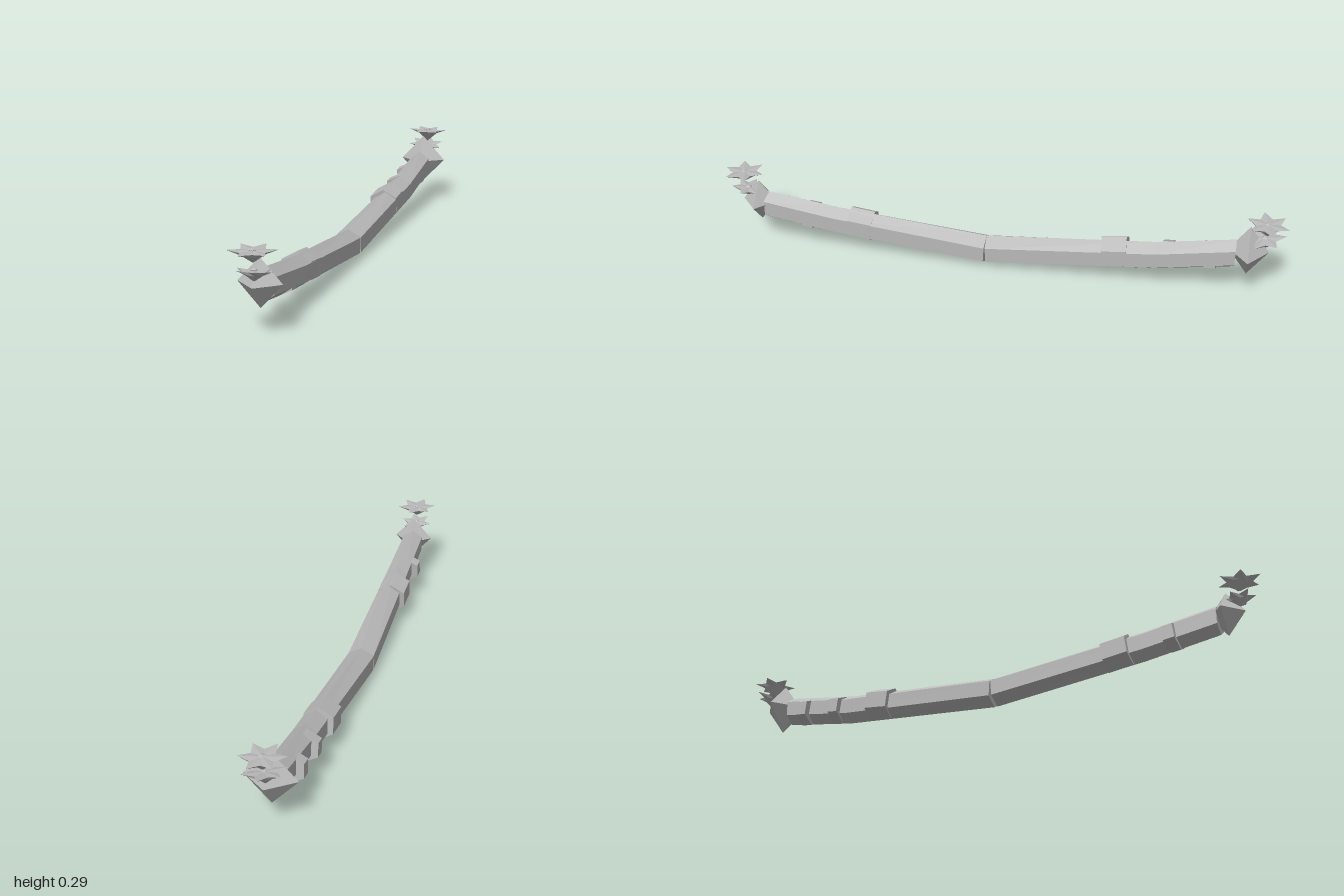
import * as THREE from 'three';

// Closed skin over matching rings; each ring runs counter-clockwise seen from the first ring's side
function loft(rings) {
  const pos = [];
  const tri = (...pts) => pts.forEach((p) => pos.push(...p));
  const n = rings[0].length;
  for (let r = 0; r < rings.length - 1; r++) {
    const a = rings[r], b = rings[r + 1];
    for (let i = 0; i < n; i++) {
      const j = (i + 1) % n;
      tri(a[i], b[i], b[j]);
      tri(a[i], b[j], a[j]);
    }
  }
  const cap = (ring, flip) => {
    const c = [0, 1, 2].map((k) => ring.reduce((s, p) => s + p[k], 0) / n);
    for (let i = 0; i < n; i++) {
      const j = (i + 1) % n;
      if (flip) tri(c, ring[j], ring[i]);
      else tri(c, ring[i], ring[j]);
    }
  };
  cap(rings[0], false);
  cap(rings[rings.length - 1], true);
  const g = new THREE.BufferGeometry();
  g.setAttribute('position', new THREE.Float32BufferAttribute(pos, 3));
  g.computeVertexNormals();
  return g;
}

// Point-up hexagon across the beam; lean shifts z with height
function hexRing(z, cx, cy, halfWidth, radius, lean = 0) {
  return Array.from({ length: 6 }, (_, i) => {
    const a = Math.PI / 6 + (i * Math.PI) / 3;
    const dy = Math.sin(a) * radius;
    return [cx + Math.cos(a) * halfWidth / Math.cos(Math.PI / 6), cy + dy, z + lean * (dy - radius)];
  });
}

// Flat ring of star points around y
function starRing(outer, inner, y, drop) {
  return Array.from({ length: 12 }, (_, i) => {
    const a = (i * Math.PI) / 6;
    const r = i % 2 ? inner : outer;
    return [Math.cos(a) * r, i % 2 ? y - drop : y, -Math.sin(a) * r];
  });
}

export function createModel() {
  const root = new THREE.Group();
  const grey = new THREE.MeshStandardMaterial({ color: 0xb8b8b8 });
  grey.flatShading = true;

  const add = (name, geometry, parent = root) => {
    const mesh = new THREE.Mesh(geometry, grey);
    mesh.name = name;
    parent.add(mesh);
    return mesh;
  };

  // Two beam halves that meet at the top of the bend
  add('frontBeam', loft([
    hexRing(0.85, -0.003, 0.152, 0.037, 0.054),
    hexRing(0.59, -0.005, 0.114, 0.04, 0.054),
    hexRing(0.04, -0.016, 0.056, 0.046, 0.054, -0.06),
  ]));
  add('backBeam', loft([
    hexRing(0.04, -0.016, 0.056, 0.046, 0.054, 0.06),
    hexRing(-0.56, -0.005, 0.114, 0.04, 0.054),
    hexRing(-0.83, -0.003, 0.16, 0.037, 0.054),
  ]));

  // Hexagonal bands, set off to one side and following the slope: z, y, length, radius
  const bands = [
    ['frontCollar', 0.5, 0.104, 0.088, 0.059],
    ['backCollar', -0.42, 0.104, 0.088, 0.059],
    ['frontClip', 0.69, 0.119, 0.04, 0.05],
    ['backInnerClip', -0.605, 0.119, 0.038, 0.05],
    ['backOuterClip', -0.745, 0.135, 0.04, 0.05],
  ];
  for (const [name, z, y, length, radius] of bands) {
    const band = add(name, loft([
      hexRing(length / 2, 0, 0, 0.0505, radius),
      hexRing(-length / 2, 0, 0, 0.0505, radius),
    ]));
    band.position.set(-0.0165, y, z);
    band.rotation.x = -Math.sign(z) * 0.12;
  }

  // Spiked flower: star plate tapering to a point below, with a small hub
  function addStar(name, x, y, z, radius, depth, turn, tiltX, tiltZ) {
    const star = new THREE.Group();
    star.name = name;
    add('starPlate', loft([
      starRing(radius, radius * 0.56, 0, 0.004),
      starRing(radius * 0.5, radius * 0.46, -0.014, 0),
      starRing(0.002, 0.002, -depth, 0),
    ]), star);
    const hub = add('starHub', new THREE.OctahedronGeometry(0.014), star);
    hub.scale.y = 0.5;
    star.position.set(x, y, z);
    star.rotation.set(tiltX, turn, tiltZ);
    root.add(star);
  }

  // End crystals with their stars
  const crystal = (name, y, z, sx, sy, sz) => {
    const mesh = add(name, new THREE.OctahedronGeometry(1));
    mesh.scale.set(sx, sy, sz);
    mesh.position.set(0, y, z);
  };
  crystal('frontCrystal', 0.168, 0.875, 0.072, 0.078, 0.062);
  crystal('backCrystal', 0.178, -0.872, 0.088, 0.094, 0.068);
  addStar('frontUpperStar', 0, 0.281, 0.925, 0.075, 0.038, 0.35, 0, 0);
  addStar('frontLowerStar', 0, 0.218, 0.915, 0.06, 0.033, 0.9, -0.15, 0);
  addStar('backUpperStar', 0.003, 0.29, -0.927, 0.075, 0.046, 0.2, 0, -0.03);
  addStar('backLowerStar', 0, 0.236, -0.922, 0.072, 0.04, 0.55, 0.2, -0.1);

  return root;
}
